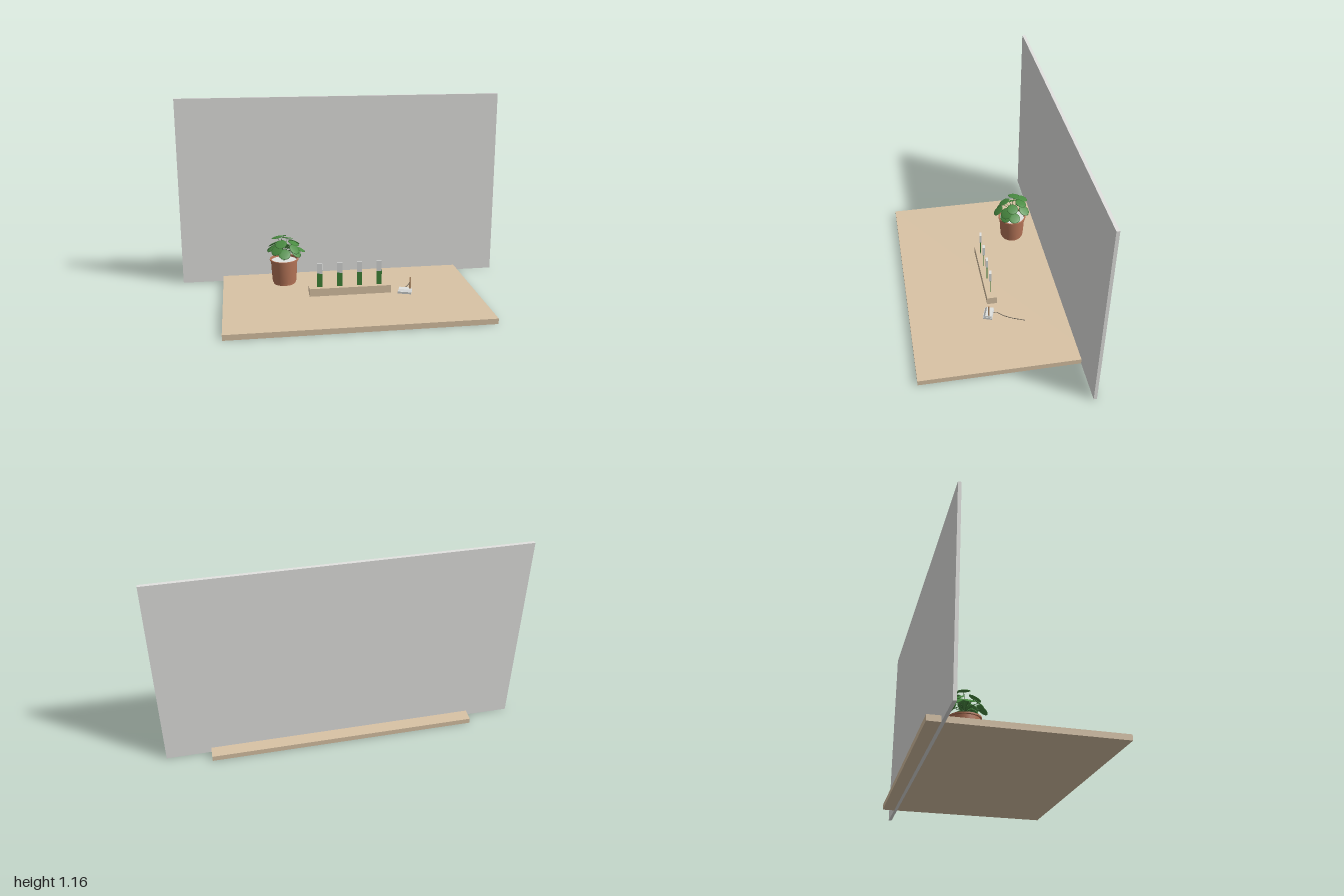
import * as THREE from 'three';
import { toCreasedNormals } from 'three/addons/utils/BufferGeometryUtils.js';

const mat = (name, color, side = THREE.FrontSide) => {
  const m = new THREE.MeshStandardMaterial({ color, side });
  m.name = name;
  return m;
};

export function createModel() {
  const wood = mat('wood', 0xd9c3a5);
  const wallGrey = mat('wall grey', 0xe2e2e0);
  const clay = mat('terracotta', 0xb67558, THREE.DoubleSide);
  const leafGreen = mat('leaf green', 0x4a8c42);
  const stemGreen = mat('stem green', 0x35632f);
  const boardGreen = mat('circuit green', 0x42883a);
  const paleGrey = mat('pale grey', 0xe0e2e0);
  const stickBrown = mat('stick brown', 0xc09a74);
  const cableGrey = mat('cable grey', 0x6e675c);

  const model = new THREE.Group();
  const add = (parent, name, geo, material, x = 0, y = 0, z = 0) => {
    const m = new THREE.Mesh(geo, material);
    m.name = name;
    m.position.set(x, y, z);
    parent.add(m);
    return m;
  };
  const group = (name, x, y, z) => {
    const g = new THREE.Group();
    g.name = name;
    g.position.set(x, y, z);
    model.add(g);
    return g;
  };
  const box = (w, h, d) => new THREE.BoxGeometry(w, h, d);
  const top = 0.032;

  // Table top and the panel standing through its rear edge
  add(model, 'tableTop', box(1.5, top, 1), wood, 0, top / 2, 0);
  add(model, 'backWall', box(2, 1.157, 0.018), wallGrey, 0, 0.5785, -0.421);

  // Flower pot with foot, flared body and rim
  const plant = group('pottedPlant', -0.375, top, -0.24);
  const profile = [[0, 0.001], [0.066, 0.001], [0.066, 0.012], [0.072, 0.013], [0.076, 0.06],
    [0.081, 0.147], [0.088, 0.149], [0.088, 0.157], [0.08, 0.157], [0.077, 0.14]]
    .map(([r, y]) => new THREE.Vector2(r, y));
  add(plant, 'pot', toCreasedNormals(new THREE.LatheGeometry(profile, 40), 0.5), clay);
  const soil = add(plant, 'soil', new THREE.CircleGeometry(0.078, 40), paleGrey, 0, 0.145, 0);
  soil.rotation.x = -Math.PI / 2;

  // Leaves: x, y, z of the centre and tilt away from the crown
  const leaves = [
    [-0.06, 0.238, -0.052, 0.6], [-0.015, 0.28, -0.066, 0.35], [0.066, 0.242, -0.064, 0.6],
    [0.097, 0.212, 0.004, 0.45], [0.06, 0.228, 0.05, 0.8], [-0.002, 0.21, 0.09, 0.7],
    [-0.046, 0.228, 0.06, 0.75], [-0.07, 0.225, 0.004, 0.55], [0.026, 0.272, -0.05, 0.3],
    [-0.038, 0.289, -0.016, 0.25], [0.058, 0.255, 0.01, 0.4], [-0.02, 0.262, 0.048, 0.5],
    [0.07, 0.208, 0.055, 0.8], [-0.07, 0.212, -0.062, 0.75], [0.025, 0.212, -0.07, 0.7],
  ];
  const leafGeo = new THREE.SphereGeometry(0.037, 12, 6).scale(1, 0.1, 1);
  const up = new THREE.Vector3(0, 1, 0);
  const crown = new THREE.Vector3(0, 0.19, 0);
  leaves.forEach(([x, y, z, tilt]) => {
    const r = Math.hypot(x, z);
    const normal = new THREE.Vector3(x / r * Math.sin(tilt), Math.cos(tilt), z / r * Math.sin(tilt));
    const leaf = add(plant, 'leaf', leafGeo, leafGreen, x, y, z);
    leaf.quaternion.setFromUnitVectors(up, normal);
    // Stalk arching from the crown to the leaf
    const end = new THREE.Vector3(x, y - 0.002, z);
    const mid = new THREE.Vector3(x * 0.4, (y + crown.y) / 2 + 0.012, z * 0.4);
    const path = new THREE.QuadraticBezierCurve3(crown, mid, end);
    add(plant, 'leafStalk', new THREE.TubeGeometry(path, 6, 0.0018, 5), stemGreen);
  });
  add(plant, 'mainStem', new THREE.CylinderGeometry(0.003, 0.004, 0.06, 8), stemGreen, 0, 0.17, 0);

  // Holder block with four upright probes
  add(model, 'holderBlock', box(0.486, 0.047, 0.06), wood, -0.002, 0.0575, 0);
  [-0.181, -0.062, 0.056, 0.174].forEach((x) => {
    const probe = group('probe', x, 0.081, 0);
    probe.rotation.y = -0.15;
    add(probe, 'probeBlade', box(0.032, 0.09, 0.004), boardGreen, 0, 0.045, 0);
    add(probe, 'probeHead', box(0.03, 0.06, 0.014), paleGrey, 0, 0.115, 0);
  });

  // Small device with bevelled lid and a thin upright stick
  const device = group('device', 0.325, top, 0.037);
  device.rotation.y = -0.33;
  add(device, 'deviceBase', box(0.08, 0.012, 0.055), paleGrey, 0, 0.007, 0);
  const lid = box(0.076, 0.012, 0.05);
  const p = lid.attributes.position;
  for (let i = 0; i < p.count; i++) {
    if (p.getY(i) > 0) p.setXYZ(i, p.getX(i) * 0.95, p.getY(i), p.getZ(i) < 0 ? -0.024 : 0.014);
  }
  lid.computeVertexNormals();
  add(device, 'deviceLid', lid, paleGrey, 0, 0.019, 0);
  add(model, 'deviceStick', box(0.008, 0.09, 0.008), stickBrown, 0.355, 0.084, 0.04);

  // Cable trailing over the table
  const cable = new THREE.CatmullRomCurve3([
    [0.33, 0.046, 0.012], [0.322, 0.041, -0.01], [0.345, 0.035, -0.042],
    [0.375, 0.034, -0.09], [0.407, 0.034, -0.165],
  ].map((a) => new THREE.Vector3(...a)));
  add(model, 'cable', new THREE.TubeGeometry(cable, 24, 0.0022, 6), cableGrey);

  return model;
}
